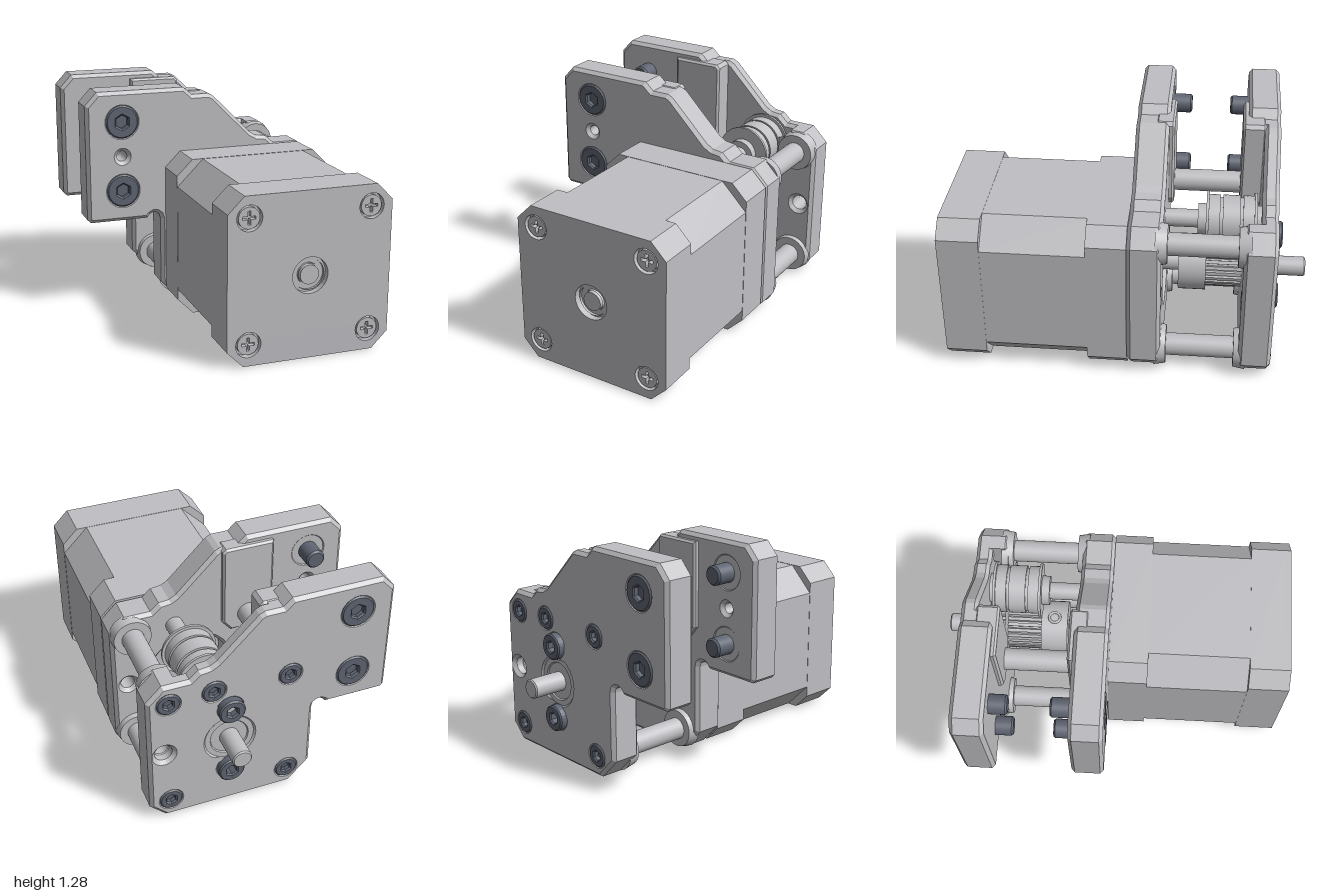
import * as THREE from 'three';

const metal = new THREE.MeshStandardMaterial({ color: 0xc0c0c4 });
metal.name = 'light grey metal';
const steel = new THREE.MeshStandardMaterial({ color: 0x5f6572 });
steel.name = 'dark steel';

const CX = 0.23, CY = 0.46; // motor axis
const corners = [[-0.11, 0.8], [0.57, 0.8], [-0.11, 0.12], [0.57, 0.12]];

export function createModel() {
  const model = new THREE.Group();
  model.name = 'beltDriveMotor';

  const add = (name, geo, mat = metal, parent = model) => {
    const m = new THREE.Mesh(geo, mat);
    m.name = name;
    parent.add(m);
    return m;
  };
  const poly = pts => new THREE.Shape(pts.map(p => new THREE.Vector2(p[0], p[1])));
  const ring = (n, r, a0 = 0) => Array.from({ length: n }, (_, i) => {
    const a = a0 + i / n * Math.PI * 2;
    return [r * Math.cos(a), r * Math.sin(a)];
  });
  const hole = (shape, x, y, r) => {
    shape.holes.push(poly(ring(28, r).map(p => [p[0] + x, p[1] + y])));
  };
  // Plate between two depths, with chamfered edges
  const slab = (shape, z0, z1, b = 0) => new THREE.ExtrudeGeometry(shape, {
    depth: z1 - z0 - 2 * b, bevelEnabled: b > 0, bevelSize: b, bevelThickness: b,
    bevelOffset: -b, bevelSegments: 1, curveSegments: 20,
  }).translate(0, 0, z0 + b);
  // Round bar along z
  const rod = (x, y, r, z0, z1, r2 = r) => new THREE.CylinderGeometry(r2, r, z1 - z0, 32)
    .rotateX(Math.PI / 2).translate(x, y, (z0 + z1) / 2);
  // Turned part along z, profile given as [radius, z]
  const turned = (pts, x, y) => new THREE.LatheGeometry(
    pts.flatMap(p => [new THREE.Vector2(p[0], p[1]), new THREE.Vector2(p[0], p[1])]), 40)
    .rotateX(Math.PI / 2).translate(x, y, 0);

  // ---- Motor ----
  const octagon = (c, h = 0.458) => {
    const k = h - c;
    return poly([[-k, -h], [k, -h], [h, -k], [h, k], [k, h], [-k, h], [-h, k], [-h, -k]]
      .map(p => [p[0] + CX, p[1] + CY]));
  };
  add('motorFrontCap', slab(octagon(0.09), -0.02, 0.2));
  add('motorStack', slab(octagon(0.15, 0.456), 0.2, 0.77));
  add('motorRearCap', slab(octagon(0.09), 0.77, 0.965));
  const face = octagon(0.09);
  corners.forEach(([x, y]) => hole(face, x, y, 0.07));
  hole(face, CX, CY, 0.1);
  add('motorRearFace', slab(face, 0.965, 1));
  add('rearShaftCollar', turned([[0.085, 0.96], [0.085, 0.98], [0.06, 0.98], [0.06, 0.96]].reverse(), CX, CY));
  add('rearShaftEnd', rod(CX, CY, 0.053, 0.95, 0.99));
  add('motorPilot', rod(CX, CY, 0.2, -0.06, -0.01));
  // Cross-recess screws at the corners
  const w = 0.008, l = 0.036;
  corners.forEach(([x, y]) => {
    const s = poly(ring(28, 0.058));
    s.holes.push(poly([[w, w], [w, l], [-w, l], [-w, w], [-l, w], [-l, -w],
      [-w, -w], [-w, -l], [w, -l], [w, -w], [l, -w], [l, w]]));
    add('motorScrew', slab(s, 0.965, 0.993).translate(x, y, 0));
  });

  // ---- Plates ----
  const lower = [
    [-0.69, 0.55], [-0.67, 0.53], [-0.335, 0.53], [-0.32, 0.55], [-0.3, 0.56], [-0.28, 0.558],
    [-0.262, 0.545], [-0.255, 0.52], [-0.255, 0.125], [-0.135, 0], [0.6, 0],
    [0.69, 0.09], [0.69, 0.83], [0.6, 0.92],
  ];
  const slope = [[0.45, 0.92], [0.4, 0.965], [0.34, 0.972], [0.3, 0.995], [0.07, 1.225], [0.04, 1.24]];
  const crown = [[-0.06, 1.24], [-0.11, 1.285], [-0.62, 1.285], [-0.69, 1.21]];
  const outline = () => poly([...lower, ...slope, ...crown]);
  const mountScrews = [[-0.48, 1.11], [-0.48, 0.71]];

  const front = outline();
  mountScrews.forEach(([x, y]) => hole(front, x, y, 0.08));
  hole(front, -0.48, 0.91, 0.03);
  hole(front, 0.6, CY, 0.04);
  hole(front, CX, CY, 0.24);
  add('frontPlate', slab(front, -0.205, -0.02, 0.02));

  const backScrews = [
    ...mountScrews.map(p => [...p, 0.095, 0]),
    ...corners.map(p => [...p, 0.066, 0]),
    [0.32, 0.81, 0.066, 0],
    [CX, 0.67, 0.075, 0.035], [CX, 0.25, 0.075, 0.035],
  ];
  const web = outline();
  backScrews.forEach(([x, y, r]) => hole(web, x, y, r - 0.015));
  hole(web, 0.6, CY, 0.05);
  hole(web, CX, CY, 0.13);
  add('backPlateWeb', slab(web, -0.82, -0.73, 0.02));
  // Thick rim around the pulley pocket, open at the top
  const rim = poly([...lower, [0.52, 0.92], [0.52, 0.14], [0.0, 0.14], [0.0, 1.24], ...crown]);
  hole(rim, 0.6, CY, 0.045);
  add('backPlateRim', slab(rim, -0.775, -0.64, 0.02));

  // Bearing in the back plate
  add('bearing', turned([[0.055, -0.73], [0.145, -0.73], [0.145, -0.81], [0.11, -0.81],
    [0.105, -0.803], [0.055, -0.803]].reverse(), CX, CY)).material = metal;
  add('bearingFace', rod(CX, CY, 0.143, -0.8, -0.735));

  // Bosses, upright ribs and standoffs
  corners.forEach(([x, y]) => {
    add('frontBoss', rod(x, y, 0.108, -0.235, -0.17, 0.12));
    add('backBoss', rod(x, y, 0.12, -0.68, -0.612, 0.108));
    add('standoff', rod(x, y, 0.063, -0.63, -0.22));
  });
  const rib = poly([[-0.26, 0.76], [-0.21, 0.7], [-0.01, 0.7], [0.04, 0.76], [0.04, 1.225], [0.02, 1.245], [-0.26, 1.245]]);
  add('frontRib', slab(rib, -0.235, -0.13, 0.012));
  add('backRib', slab(rib, -0.74, -0.612, 0.012));

  // ---- Hex socket screws, head facing +z before placing ----
  const socketScrew = (x, y, z, r, rise, flip) => {
    const g = new THREE.Group();
    g.name = 'socketScrew';
    const head = poly(ring(28, r));
    head.holes.push(poly(ring(6, r * 0.42, Math.PI / 6)));
    add('screwHead', slab(head, -0.035, rise + 0.004, 0.008), steel, g);
    add('screwBody', rod(0, 0, r * 0.85, -0.08, -0.03), steel, g);
    g.position.set(x, y, z);
    if (flip) g.rotation.y = Math.PI;
    model.add(g);
  };
  backScrews.forEach(([x, y, r, rise]) => socketScrew(x, y, -0.82, r, rise, true));
  mountScrews.forEach(([x, y]) => {
    socketScrew(x, y, -0.02, 0.095, 0, false);
    add('frontScrewTip', turned([[0, -0.312], [0.045, -0.312], [0.055, -0.302], [0.055, -0.15]], x, y), steel)
      .material = steel;
    add('frontScrewSleeve', rod(x, y, 0.1, -0.2, -0.1));
    add('backScrewTip', turned([[0.055, -0.7], [0.055, -0.548], [0.045, -0.538], [0, -0.538]], x, y), steel);
  });

  // ---- Drive shaft and toothed pulley ----
  add('driveShaft', turned([[0, -1], [0.048, -1], [0.055, -0.993], [0.055, 0]], CX, CY));
  add('pulleyHub', rod(CX, CY, 0.16, -0.44, -0.285));
  const teeth = [];
  for (let i = 0; i < 24; i++) {
    [[0, 0.134], [0.55, 0.134], [0.62, 0.115], [0.93, 0.115]].forEach(([t, r]) => {
      const a = (i + t) / 24 * Math.PI * 2;
      teeth.push([CX + r * Math.cos(a), CY + r * Math.sin(a)]);
    });
  }
  add('pulleyTeeth', slab(poly(teeth), -0.695, -0.44));
  add('pulleyFlange', rod(CX, CY, 0.16, -0.72, -0.695));
  add('hubSetScrew', new THREE.TorusGeometry(0.032, 0.008, 8, 24)
    .rotateX(Math.PI / 2).translate(CX, CY + 0.158, -0.363));

  // ---- Idler roller ----
  add('idlerRoller', turned([
    [0, -0.735], [0.085, -0.735], [0.085, -0.705], [0.155, -0.705], [0.155, -0.69],
    [0.138, -0.69], [0.138, -0.63], [0.125, -0.63], [0.125, -0.615], [0.138, -0.615],
    [0.138, -0.52], [0.125, -0.52], [0.125, -0.505], [0.138, -0.505], [0.138, -0.445],
    [0.155, -0.445], [0.155, -0.43], [0.085, -0.43], [0.085, -0.385], [0, -0.385],
  ], 0.32, 0.81));
  add('idlerAxle', rod(0.32, 0.81, 0.05, -0.76, -0.19));

  return model;
}
